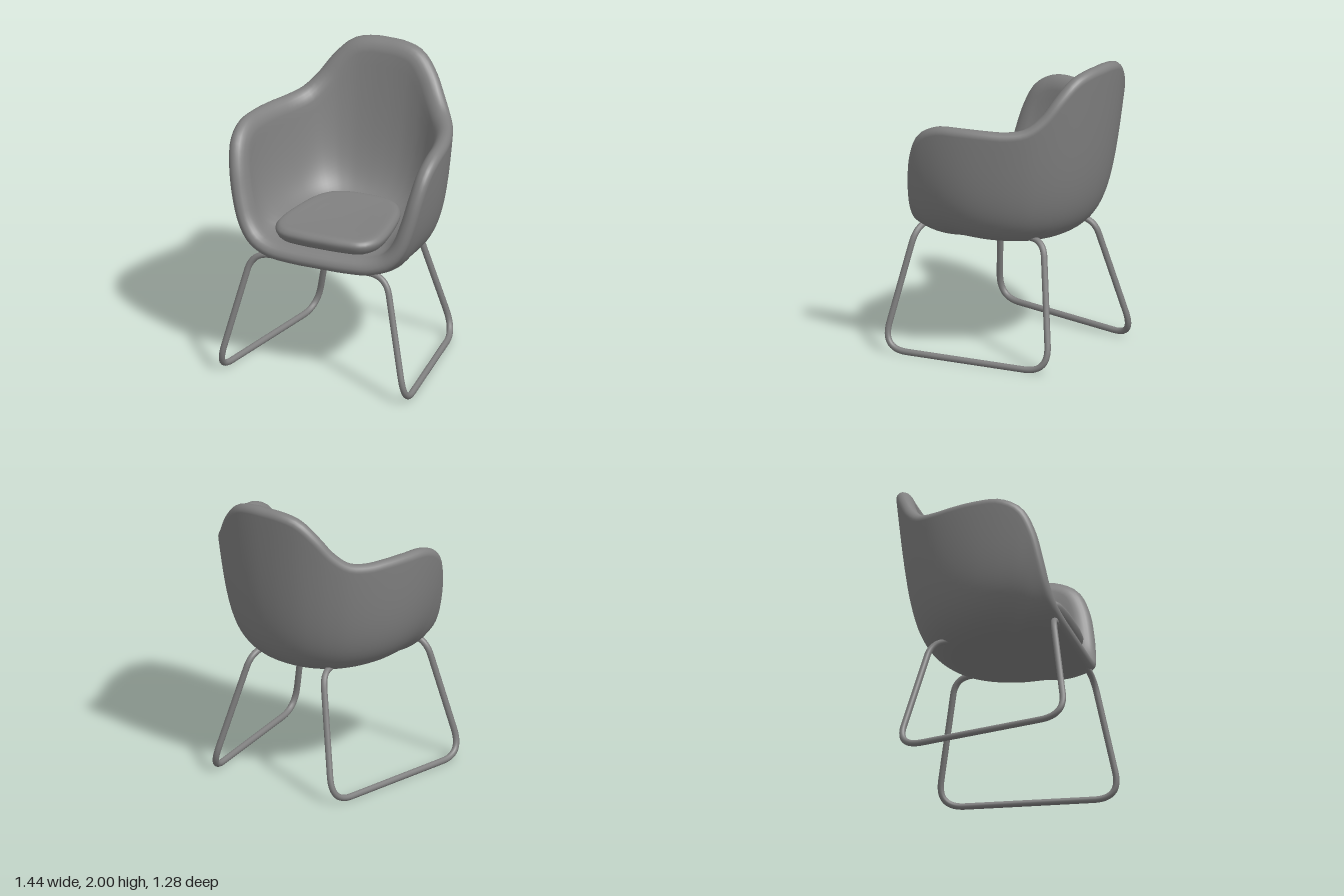
import * as THREE from 'three';

const V = (x, y, z) => new THREE.Vector3(x, y, z);
const material = new THREE.MeshStandardMaterial({ color: 0x808080 });

// Smooth closed curve from the points of its +x half, front centre to back centre
function mirroredLoop(half) {
  const left = half.map(p => V(...p));
  const right = half.slice(1, -1).reverse().map(([x, y, z]) => V(-x, y, z));
  return new THREE.CatmullRomCurve3([...left, ...right], true);
}

// Skin over a grid: sections[u][v], wrapping around in u
function skin(sections) {
  const nu = sections.length, nv = sections[0].length, pos = [], index = [];
  for (const s of sections) for (const p of s) pos.push(p.x, p.y, p.z);
  for (let u = 0; u < nu; u++) for (let v = 0; v < nv - 1; v++) {
    const a = u * nv + v, b = ((u + 1) % nu) * nv + v;
    index.push(a, b, b + 1, a, b + 1, a + 1);
  }
  const g = new THREE.BufferGeometry();
  g.setAttribute('position', new THREE.Float32BufferAttribute(pos, 3));
  g.setIndex(index);
  g.computeVertexNormals();
  return g;
}

function mesh(name, geometry) {
  const m = new THREE.Mesh(geometry, material);
  m.name = name;
  return m;
}

// Bucket shell: ribs sweep from the seat centre up to the rim, over it and back down inside
function shellGeometry() {
  const rim = mirroredLoop([
    [0, 0.855, 0.505], [0.2, 0.857, 0.504], [0.36, 0.872, 0.498], [0.47, 0.92, 0.483],
    [0.545, 1.015, 0.462], [0.60, 1.17, 0.437], [0.645, 1.37, 0.392], [0.67, 1.51, 0.32],
    [0.675, 1.575, 0.2], [0.655, 1.587, 0.04], [0.613, 1.587, -0.12], [0.556, 1.588, -0.265],
    [0.488, 1.615, -0.38], [0.41, 1.7, -0.465], [0.325, 1.825, -0.53], [0.22, 1.926, -0.576],
    [0.1, 1.955, -0.595], [0, 1.957, -0.598],
  ]);
  const ribs = 120, steps = 28, capSteps = 6, edge = 0.045;
  const rimPoints = rim.getSpacedPoints(ribs).slice(0, ribs);

  // Ribs halfway through the wall; the footprint is drawn in a little at the diagonals
  const mid = rimPoints.map(r => {
    const k = 1 - 0.05 * Math.sin(2 * Math.atan2(r.x, r.z)) ** 2;
    const [z1, z2] = r.z > 0 ? [0.7, 0.77] : [0.78, 0.83];
    return new THREE.CubicBezierCurve3(
      V(0, 0.845, 0),
      V(r.x * 0.77 * k, 0.832, r.z * z1 * k),
      V(r.x * 0.92 * k, 0.83 + (r.y - 0.83) * 0.06, r.z * z2 * k), r).getPoints(steps);
  });
  const at = u => (u + ribs) % ribs;
  const around = (u, v) => mid[at(u + 1)][v].clone().sub(mid[at(u - 1)][v]);
  const normals = mid.map((rib, u) => rib.map((p, v) => v === 0 ? V(0, -1, 0) : around(u, v)
    .cross(rib[Math.min(v + 1, steps)].clone().sub(rib[v - 1])).normalize()));
  const smoothNormal = (u, v) => {
    const n = V(0, 0, 0);
    for (let i = -3; i <= 3; i++) n.addScaledVector(normals[at(u + i)][v], 4 - Math.abs(i));
    return n.normalize();
  };

  return skin(mid.map((rib, u) => {
    // Outer face
    const outer = rib.slice(0, steps).map((p, v) =>
      p.clone().addScaledVector(smoothNormal(u, v), THREE.MathUtils.lerp(0.07, edge, v / steps)));

    // Rim: tight round outside, broad soft round inside
    const n = smoothNormal(u, steps), e = n.clone().cross(around(u, steps)).normalize();
    const rimAt = (dn, de) => rib[steps].clone().addScaledVector(n, dn).addScaledVector(e, de);
    const cap = [];
    for (let i = 0; i < capSteps; i++) {
      const a = Math.PI / 2 * i / capSteps;
      cap.push(rimAt(edge * Math.cos(a), edge * Math.sin(a)));
    }
    for (let i = 0; i <= capSteps; i++) {
      const a = Math.PI / 2 * 0.9 * i / capSteps;
      cap.push(rimAt(-0.075 * Math.sin(a), edge - 0.11 * (1 - Math.cos(a))));
    }

    // Padded inner face, thicker towards the seat
    const top = cap[cap.length - 1];
    const inner = new THREE.CubicBezierCurve3(
      top,
      V(top.x * 0.89, 0.93 + (top.y - 0.93) * 0.12, top.z * 0.82),
      V(top.x * 0.76, 0.93, top.z * 0.72),
      V(0, 0.935, 0)).getPoints(steps).slice(1);
    return [...outer, ...cap, ...inner];
  }));
}

// Seat pad: outline scaled through a pillow-shaped profile of [scale, height]
function cushionGeometry() {
  const outline = mirroredLoop([
    [0, 0, 0.52], [0.16, 0, 0.516], [0.295, 0, 0.49], [0.36, 0, 0.4], [0.372, 0, 0.28],
    [0.343, 0, 0.05], [0.305, 0, -0.1], [0.24, 0, -0.205], [0.14, 0, -0.255], [0, 0, -0.267],
  ]).getSpacedPoints(72).slice(0, 72);
  const profile = new THREE.SplineCurve([
    [0, 0.92], [0.5, 0.92], [0.82, 0.926], [0.94, 0.95], [1, 0.995],
    [0.975, 1.024], [0.9, 1.039], [0.7, 1.037], [0.35, 1.031], [0, 1.028],
  ].map(p => new THREE.Vector2(...p))).getPoints(36);
  const cz = 0.14;
  return skin(outline.map(o => profile.map(p => V(o.x * p.x, p.y, cz + (o.z - cz) * p.x))));
}

// Sled leg: one bent tube with rounded corners
function legGeometry(side) {
  const pts = [
    [0.2, 0.835, 0.49], [0.475, 0.842, 0.505], [0.668, 0.025, 0.645],
    [0.485, 0.025, -0.545], [0.285, 0.845, -0.365], [0.27, 0.84, -0.22],
  ].map(([x, y, z]) => V(x * side, y, z));
  const cuts = [0, 0.13, 0.18, 0.18, 0.11, 0];
  const path = new THREE.CurvePath();
  let from = pts[0];
  for (let i = 1; i < pts.length - 1; i++) {
    const toward = q => pts[i].clone().add(q.clone().sub(pts[i]).setLength(cuts[i]));
    const a = toward(pts[i - 1]), b = toward(pts[i + 1]);
    path.add(new THREE.LineCurve3(from, a));
    path.add(new THREE.QuadraticBezierCurve3(a, pts[i], b));
    from = b;
  }
  path.add(new THREE.LineCurve3(from, pts[pts.length - 1]));
  return new THREE.TubeGeometry(path, 180, 0.021, 12, false);
}

export function createModel() {
  const chair = new THREE.Group();
  chair.name = 'armchair';
  chair.add(
    mesh('seatShell', shellGeometry()),
    mesh('seatCushion', cushionGeometry()),
    mesh('leftSledLeg', legGeometry(1)),
    mesh('rightSledLeg', legGeometry(-1)),
  );
  return chair;
}
